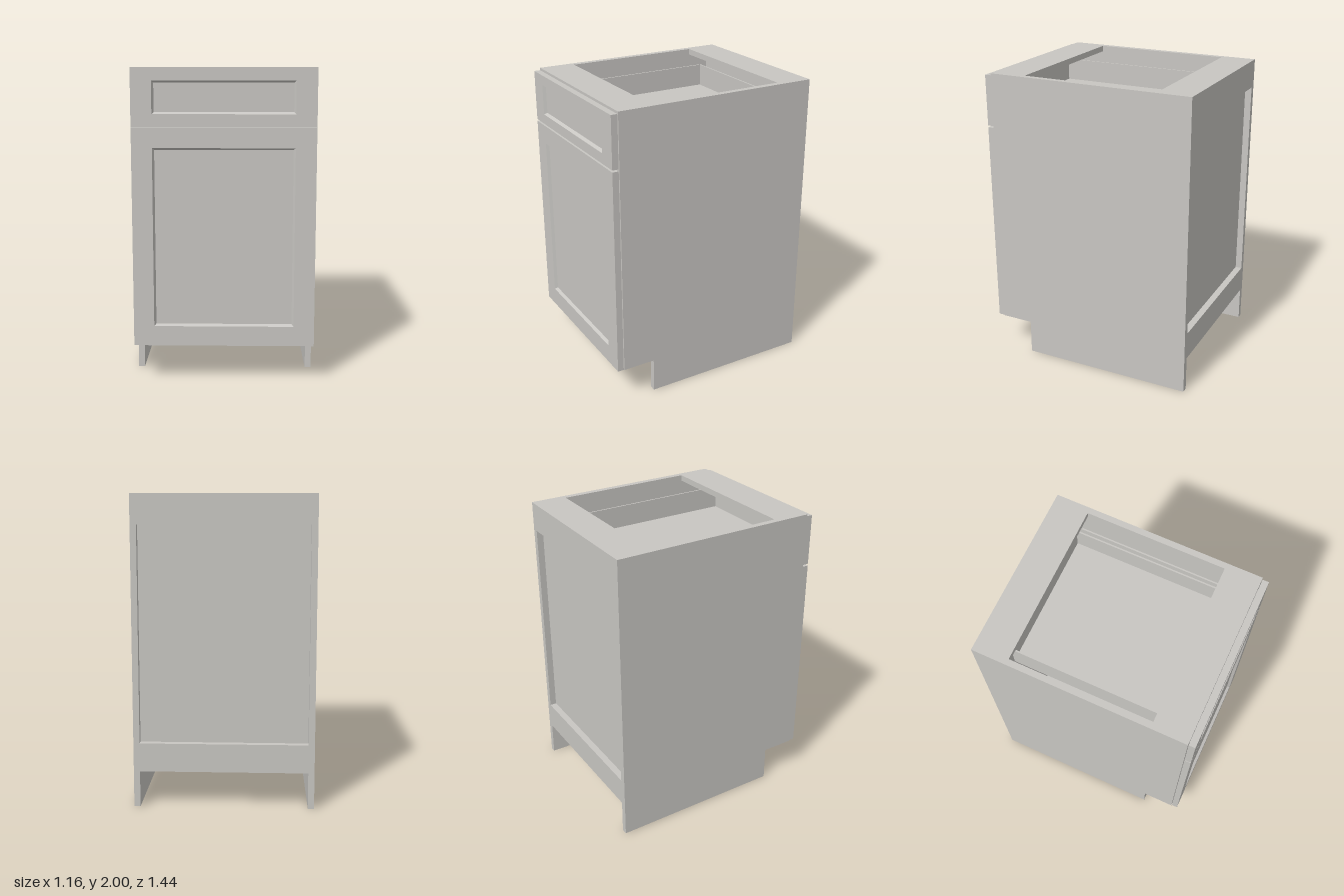
import * as THREE from 'three';

const paint = new THREE.MeshStandardMaterial({ color: 0xc8c6c2 });
paint.name = 'warm grey paint';

// Box given by its minimum and maximum corners
function addBox(parent, name, [x0, y0, z0], [x1, y1, z1]) {
  const mesh = new THREE.Mesh(new THREE.BoxGeometry(x1 - x0, y1 - y0, z1 - z0), paint);
  mesh.position.set((x0 + x1) / 2, (y0 + y1) / 2, (z0 + z1) / 2);
  mesh.name = name;
  parent.add(mesh);
  return mesh;
}

// Front with a bevelled, recessed centre: a loft through rectangles, capped at both ends
function addShakerFront(parent, name, y0, y1, frameX, frameY) {
  const w = 0.575, back = 0.678, front = 0.72, bevel = 0.012, deep = 0.7;
  const rings = [[0, 0, back], [0, 0, front], [frameX, frameY, front],
    [frameX + bevel, frameY + bevel, deep]].map(([ix, iy, z]) => [
    [-w + ix, y0 + iy, z], [w - ix, y0 + iy, z], [w - ix, y1 - iy, z], [-w + ix, y1 - iy, z]]);
  const points = [];
  const quad = (a, b, c, d) => points.push(...a, ...b, ...c, ...a, ...c, ...d);
  for (let r = 0; r < rings.length - 1; r++) {
    for (let i = 0; i < 4; i++) {
      const j = (i + 1) % 4;
      quad(rings[r][i], rings[r][j], rings[r + 1][j], rings[r + 1][i]);
    }
  }
  quad(...rings[3]);
  quad(...[...rings[0]].reverse());
  const geometry = new THREE.BufferGeometry();
  geometry.setAttribute('position', new THREE.Float32BufferAttribute(points, 3));
  geometry.computeVertexNormals();
  const mesh = new THREE.Mesh(geometry, paint);
  mesh.name = name;
  parent.add(mesh);
}

export function createModel() {
  const cabinet = new THREE.Group();
  cabinet.name = 'baseCabinet';

  // Side panels with a toe-kick notch; shape x becomes -z after the turn
  const profile = new THREE.Shape([[0.72, 0], [0.72, 2], [-0.675, 2], [-0.675, 0.235], [-0.455, 0.235], [-0.455, 0]]
    .map(([x, y]) => new THREE.Vector2(x, y)));
  const sideGeometry = new THREE.ExtrudeGeometry(profile, { depth: 0.04, bevelEnabled: false });
  sideGeometry.rotateY(Math.PI / 2);
  for (const [name, x] of [['leftSide', 0.54], ['rightSide', -0.58]]) {
    const side = new THREE.Mesh(sideGeometry, paint);
    side.position.x = x;
    side.name = name;
    cabinet.add(side);
  }

  // Carcass between the sides
  const w = 0.54;
  addBox(cabinet, 'bottomPanel', [-w, 0.235, -0.72], [w, 0.275, 0.675]);
  addBox(cabinet, 'backPanel', [-w, 0.275, -0.675], [w, 1.96, -0.64]);
  addBox(cabinet, 'backTopRail', [-w, 1.81, -0.72], [w, 1.96, -0.675]);
  addBox(cabinet, 'backBottomRail', [-w, 0.275, -0.72], [w, 0.42, -0.675]);
  addBox(cabinet, 'topBackStretcher', [-w, 1.96, -0.72], [w, 2, -0.49]);
  addBox(cabinet, 'topFrontStretcher', [-w, 1.96, 0.44], [w, 2, 0.675]);
  addBox(cabinet, 'middleRail', [-w, 1.6, 0.63], [w, 1.68, 0.675]);

  // Drawer box and its runners
  const drawer = new THREE.Group();
  drawer.name = 'drawer';
  cabinet.add(drawer);
  addBox(drawer, 'drawerBottom', [-0.45, 1.73, -0.535], [0.45, 1.75, 0.677]);
  addBox(drawer, 'drawerBack', [-0.45, 1.75, -0.535], [0.45, 1.9, -0.525]);
  for (const s of [-1, 1]) {
    const side = addBox(drawer, 'drawerSide', [0.44, 1.7, -0.535], [0.45, 1.9, 0.677]);
    side.position.x *= s;
    const runner = addBox(cabinet, 'drawerRunner', [0.53, 1.7, -0.535], [0.54, 1.78, 0.66]);
    runner.position.x *= s;
  }

  // Drawer front and door
  addShakerFront(drawer, 'drawerFront', 1.645, 1.985, 0.13, 0.068);
  addShakerFront(cabinet, 'door', 0.235, 1.632, 0.13, 0.128);

  return cabinet;
}
